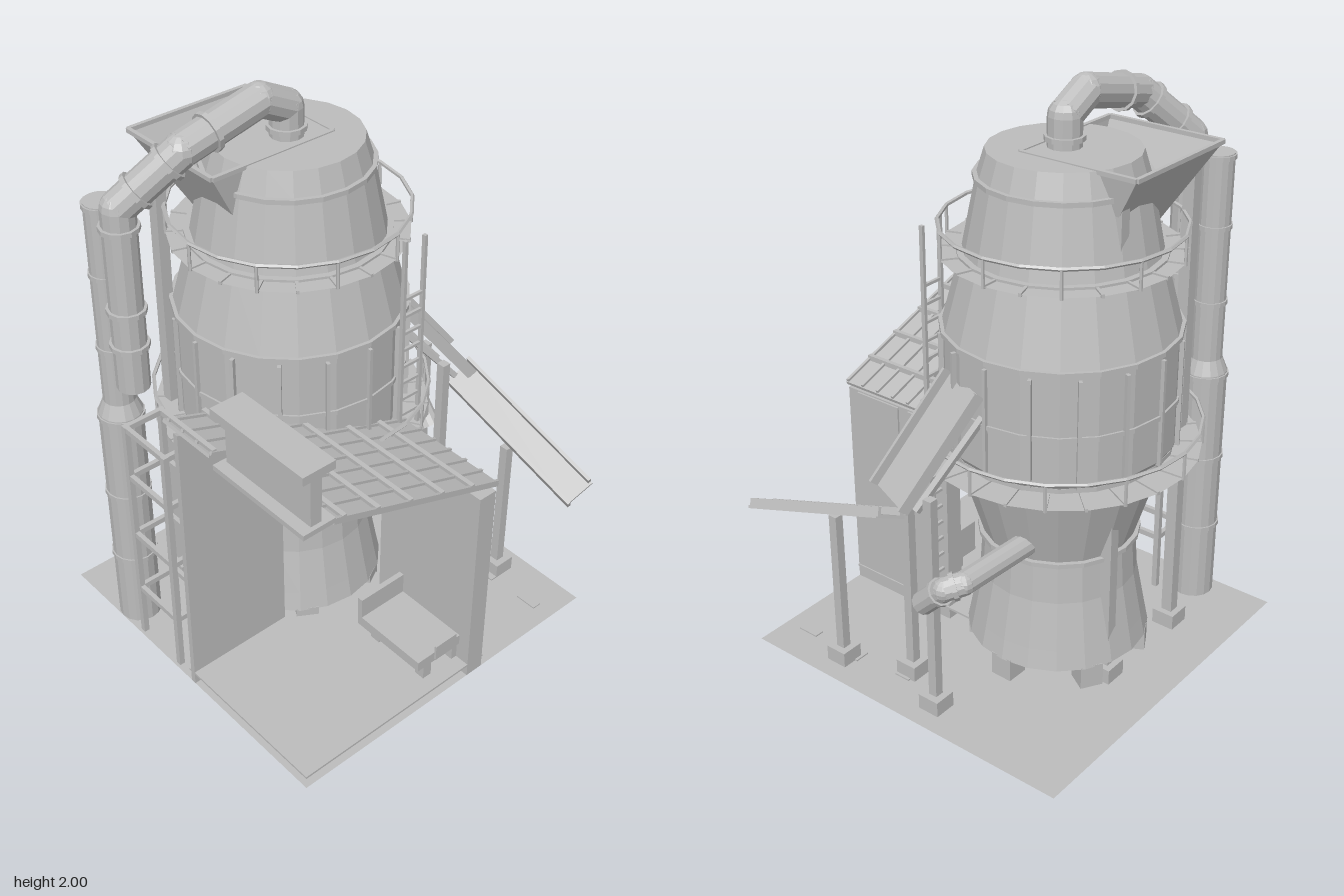
import * as THREE from 'three';

const V = (x, y, z) => new THREE.Vector3(x, y, z);
const steel = new THREE.MeshStandardMaterial({ color: 0xbcbcbc, flatShading: true, side: THREE.DoubleSide });
steel.name = 'plain grey';
const CX = -0.022, CZ = -0.158; // furnace axis

export function createModel() {
  const root = new THREE.Group();
  const group = (name) => {
    const g = new THREE.Group();
    g.name = name;
    root.add(g);
    return g;
  };
  const add = (parent, name, geo, x = 0, y = 0, z = 0) => {
    const m = new THREE.Mesh(geo, steel);
    m.name = name;
    m.position.set(x, y, z);
    parent.add(m);
    return m;
  };
  // box from its minimum and maximum corners
  const box = (parent, name, x0, x1, y0, y1, z0, z1) =>
    add(parent, name, new THREE.BoxGeometry(x1 - x0, y1 - y0, z1 - z0), (x0 + x1) / 2, (y0 + y1) / 2, (z0 + z1) / 2);
  const cyl = (parent, name, r0, r1, y0, y1, x, z, n = 16) =>
    add(parent, name, new THREE.CylinderGeometry(r1, r0, y1 - y0, n), x, (y0 + y1) / 2, z);
  // bar running from a to b, with its width along the given side direction
  const bar = (parent, name, a, b, w, h, side = V(0, 0, 1)) => {
    const d = b.clone().sub(a), len = d.length();
    d.normalize();
    const up = d.clone().cross(side).normalize();
    const s = up.clone().cross(d);
    const m = add(parent, name, new THREE.BoxGeometry(w, h, len));
    m.quaternion.setFromRotationMatrix(new THREE.Matrix4().makeBasis(s, up, d));
    m.position.copy(a).add(b).multiplyScalar(0.5);
    return m;
  };
  // angular pipe through points, with ball joints and collars
  const pipe = (parent, name, pts, r, collars) => {
    const Y = V(0, 1, 0);
    const seg = (a, b, rad, label) => {
      const d = b.clone().sub(a);
      const m = add(parent, label, new THREE.CylinderGeometry(rad, rad, d.length(), 12));
      m.quaternion.setFromUnitVectors(Y, d.normalize());
      m.position.copy(a).add(b).multiplyScalar(0.5);
    };
    pts.forEach((p, i) => {
      if (i) seg(pts[i - 1], p, r, name);
      if (i && i < pts.length - 1) add(parent, name + 'Joint', new THREE.SphereGeometry(r, 12, 8), p.x, p.y, p.z);
    });
    collars.forEach(([i, t]) => {
      const a = pts[i], b = pts[i + 1], h = 0.008 / a.distanceTo(b);
      seg(a.clone().lerp(b, t - h), a.clone().lerp(b, t + h), r * 1.18, name + 'Collar');
    });
  };

  // ground
  const ground = group('ground');
  add(ground, 'groundPlate', new THREE.PlaneGeometry(1.295, 1.29).rotateX(-Math.PI / 2), -0.0025, 0, 0);
  [[0.4, 0.5, 0.08, 0.14], [0.475, 0.53, 0.29, 0.38], [0.485, 0.52, 0.5, 0.58]].forEach(([a, b, c, d]) =>
    box(ground, 'groundHatch', a, b, 0, 0.005, c, d));

  // furnace shell
  const furnace = group('furnace');
  furnace.position.set(CX, 0, CZ);
  const profile = [[0, 0.08], [0.314, 0.08], [0.3, 0.15], [0.268, 0.32], [0.258, 0.47], [0.36, 0.8], [0.383, 0.84],
    [0.383, 1.22], [0.316, 1.47], [0.268, 1.71], [0.242, 1.795], [0, 1.795]];
  add(furnace, 'shell', new THREE.LatheGeometry(profile.map((p) => new THREE.Vector2(...p)), 20));
  [[0.276, 0.47], [0.39, 1.0], [0.393, 1.22], [0.335, 1.47], [0.28, 1.71], [0.375, 0.815]].forEach(([r, y]) =>
    cyl(furnace, 'shellBand', r, r, y - 0.008, y + 0.008, 0, 0, 20));
  for (let i = 0; i < 16; i++) {
    const a = (i / 16) * Math.PI * 2;
    const rib = add(furnace, 'shellRib', new THREE.BoxGeometry(0.012, 0.37, 0.02), Math.sin(a) * 0.385, 1.015, Math.cos(a) * 0.385);
    rib.rotation.y = a;
  }
  for (let i = 0; i < 6; i++) {
    const a = (i / 6) * Math.PI * 2 + 0.5;
    const foot = add(furnace, 'furnaceFoot', new THREE.BoxGeometry(0.08, 0.085, 0.08), Math.sin(a) * 0.27, 0.043, Math.cos(a) * 0.27);
    foot.rotation.y = a;
  }

  // walkways with rails
  const walkway = (name, y, rIn, rOut, start, arc, n) => {
    const g = group(name);
    g.position.set(CX, y, CZ);
    g.rotation.y = start;
    add(g, 'walkwayFloor', new THREE.RingGeometry(rIn, rOut, n, 1, 0, arc).rotateX(-Math.PI / 2));
    add(g, 'handrail', new THREE.TorusGeometry(rOut, 0.007, 5, n, arc).rotateX(-Math.PI / 2), 0, 0.09, 0);
    for (let i = 0; i <= n; i++) {
      const a = (i / n) * arc, c = Math.cos(a), s = -Math.sin(a);
      bar(g, 'floorBracket', V(c * rIn, 0, s * rIn), V(c * rOut, 0, s * rOut), 0.01, 0.012, V(s, 0, -c));
      if (i % 2 === 0) cyl(g, 'railPost', 0.006, 0.006, -0.005, 0.09, c * rOut, s * rOut, 5);
    }
  };
  walkway('upperWalkway', 1.47, 0.31, 0.39, 0, Math.PI * 2, 20);
  walkway('lowerWalkway', 0.8, 0.355, 0.465, -Math.PI / 2 - 0.05, Math.PI * 1.55, 18);

  // front ladder
  const ladder = group('ladder');
  for (const [x, top] of [[0.122, 1.53], [0.205, 1.52]]) box(ladder, 'ladderRail', x - 0.006, x + 0.006, 0.08, top, 0.216, 0.23);
  for (let y = 0.14; y < 1.32; y += 0.065) box(ladder, 'ladderRung', 0.122, 0.205, y, y + 0.01, 0.218, 0.228);

  // exhaust pipe over the top
  pipe(group('exhaustPipe'), 'exhaust', [V(-0.027, 1.78, -0.155), V(-0.027, 1.89, -0.155), V(-0.13, 1.943, -0.155),
    V(-0.42, 1.875, -0.155), V(-0.59, 1.71, -0.25), V(-0.59, 1.07, -0.25)], 0.055,
  [[0, 0.4], [2, 0.65], [3, 0.2], [3, 0.7], [4, 0.1], [4, 0.55], [4, 0.75]]);

  // chimney with stand
  const chimney = group('chimney');
  const sx = -0.575, sz = -0.367;
  cyl(chimney, 'lowerStack', 0.075, 0.075, 0, 0.9, sx, sz);
  cyl(chimney, 'stackCone', 0.075, 0.055, 0.9, 0.95, sx, sz);
  cyl(chimney, 'upperStack', 0.055, 0.055, 0.93, 1.68, sx, sz);
  [[0.08, 0.28], [0.08, 0.56], [0.08, 0.88], [0.06, 1.15], [0.06, 1.42], [0.06, 1.66]].forEach(([r, y]) =>
    cyl(chimney, 'stackCollar', r, r, y, y + 0.016, sx, sz));
  const stand = group('pipeStand');
  for (const x of [-0.63, -0.49]) {
    for (const z of [-0.26, -0.05]) box(stand, 'standPost', x - 0.01, x + 0.01, 0, 0.92, z - 0.01, z + 0.01);
    for (const y of [0.2, 0.45, 0.7, 0.9]) box(stand, 'standBeam', x - 0.008, x + 0.008, y, y + 0.02, -0.26, -0.05);
  }
  for (const y of [0.2, 0.45, 0.7, 0.9])
    for (const z of [-0.26, -0.05]) box(stand, 'standCrossbar', -0.63, -0.49, y, y + 0.02, z - 0.008, z + 0.008);

  // feed hopper at the top, an open tapered box
  const hopper = group('hopper');
  const top = [[-0.37, -0.5], [0.095, -0.5], [0.095, -0.08], [-0.37, -0.08]];
  const low = [[-0.22, -0.34], [0.05, -0.34], [0.05, -0.1], [-0.22, -0.1]];
  const verts = [], faces = [];
  for (let i = 0; i < 4; i++) {
    const j = (i + 1) % 4;
    verts.push(top[i][0], 1.79, top[i][1], low[i][0], 1.5, low[i][1]);
    faces.push(i * 2, j * 2, i * 2 + 1, j * 2, j * 2 + 1, i * 2 + 1);
    bar(hopper, 'hopperRim', V(top[i][0], 1.792, top[i][1]), V(top[j][0], 1.792, top[j][1]), 0.014, 0.014, V(0, 1, 0));
  }
  const walls = new THREE.BufferGeometry();
  walls.setAttribute('position', new THREE.Float32BufferAttribute(verts, 3));
  walls.setIndex(faces);
  walls.computeVertexNormals();
  add(hopper, 'hopperWalls', walls);
  for (const x of [-0.335, 0.055]) {
    box(hopper, 'hopperPost', x - 0.02, x + 0.02, 0, 1.72, -0.44, -0.4);
    box(hopper, 'postFooting', x - 0.042, x + 0.042, 0, 0.055, -0.462, -0.378);
  }

  // shed
  const shed = group('shed');
  const roofY = (x) => 0.815 + (0.155 - x) * 0.355;
  box(shed, 'shedFloor', -0.65, 0.15, 0.044, 0.052, 0.03, 0.645);
  const gable = new THREE.Shape([[-0.65, 0], [-0.25, 0], [-0.25, 0.94], [-0.65, 1.08]].map((p) => new THREE.Vector2(...p)));
  add(shed, 'rearWall', new THREE.ExtrudeGeometry(gable, { depth: 0.02, bevelEnabled: false }), 0, 0, 0.04);
  box(shed, 'sideWall', 0.075, 0.145, 0, 0.795, 0.2, 0.645);
  for (const [a, b] of [[0.25, 0.365], [0.41, 0.6]]) box(shed, 'door', 0.14, 0.152, 0.06, 0.79, a, b);
  const roofBar = (name, x0, x1, z, w, h, lift) => bar(shed, name, V(x0, roofY(x0) + lift, z), V(x1, roofY(x1) + lift, z), w, h);
  roofBar('roofSheet', -0.65, 0.155, 0.105, 0.23, 0.012, 0);
  roofBar('roofSheet', -0.535, 0.155, 0.43, 0.43, 0.012, 0);
  for (let i = 0; i < 10; i++) roofBar('roofRib', i < 4 ? -0.645 : -0.53, 0.155, 0.01 + i * 0.07, 0.01, 0.012, 0.01);
  for (let i = 0; i < 6; i++) {
    const x = -0.63 + i * 0.133;
    box(shed, 'roofBatten', x - 0.008, x + 0.008, roofY(x), roofY(x) + 0.022, -0.01, i ? 0.645 : 0.22);
  }

  // raised vent on the roof
  box(shed, 'ventCap', -0.65, -0.53, 1.257, 1.287, 0.235, 0.645);
  box(shed, 'ventBase', -0.65, -0.53, 1.06, 1.078, 0.235, 0.645);
  box(shed, 'ventCore', -0.61, -0.57, 1.07, 1.26, 0.25, 0.63);
  for (let i = 0; i < 5; i++) box(shed, 'ventLouvre', -0.575, -0.562, 1.12, 1.23, 0.265 + i * 0.078, 0.31 + i * 0.078);

  // bench inside the shed
  box(shed, 'benchTop', -0.12, 0.075, 0.12, 0.16, 0.32, 0.6);
  box(shed, 'benchBack', -0.12, 0.075, 0.12, 0.24, 0.3, 0.32);
  box(shed, 'benchPanel', -0.045, 0.05, 0.13, 0.19, 0.6, 0.608);
  for (const x of [-0.065, 0.07]) for (const z of [0.35, 0.57]) box(shed, 'benchLeg', x - 0.018, x + 0.018, 0.05, 0.12, z - 0.02, z + 0.02);

  // discharge chutes, the lower one tilted sideways
  const chute = (name, a, b, side, width, wall) => {
    const g = group(name), s = side.clone().normalize();
    const up = b.clone().sub(a).cross(s).normalize();
    if (up.y < 0) up.negate();
    bar(g, 'chuteFloor', a, b, width, 0.01, s);
    for (const k of [-1, 1]) {
      const o = s.clone().multiplyScalar(k * (width / 2 - 0.005)).addScaledVector(up, wall / 2);
      bar(g, 'chuteWall', a.clone().add(o), b.clone().add(o), 0.012, wall, s);
    }
  };
  chute('upperChute', V(0.335, 1.105, -0.06), V(0.578, 0.77, 0.045), V(-0.37, 0, 0.93), 0.21, 0.035);
  chute('lowerChute', V(0.592, 0.715, 0.04), V(0.592, 0.52, 0.637), V(0.87, 0.45, 0), 0.12, 0.03);
  const supports = group('chuteSupports');
  bar(supports, 'chuteBrace', V(0.32, 1.06, -0.15), V(0.56, 0.75, -0.04), 0.02, 0.02);
  bar(supports, 'chuteBrace', V(0.31, 1.02, 0.0), V(0.53, 0.75, 0.08), 0.02, 0.02);
  [[0.54, 0.34, 0.58], [0.45, 0.1, 0.85], [0.54, -0.08, 0.8]].forEach(([x, z, h]) => {
    box(supports, 'supportPost', x - 0.016, x + 0.016, 0, h, z - 0.016, z + 0.016);
    box(supports, 'supportFooting', x - 0.04, x + 0.04, 0, 0.055, z - 0.04, z + 0.04);
  });

  // outlet pipe on the side
  pipe(group('outletPipe'), 'outlet', [V(0.15, 0.535, -0.22), V(0.53, 0.535, -0.2), V(0.575, 0.52, -0.16), V(0.565, 0.42, -0.06)],
    0.04, [[1, 0.5], [2, 0.2]]);
  return root;
}
